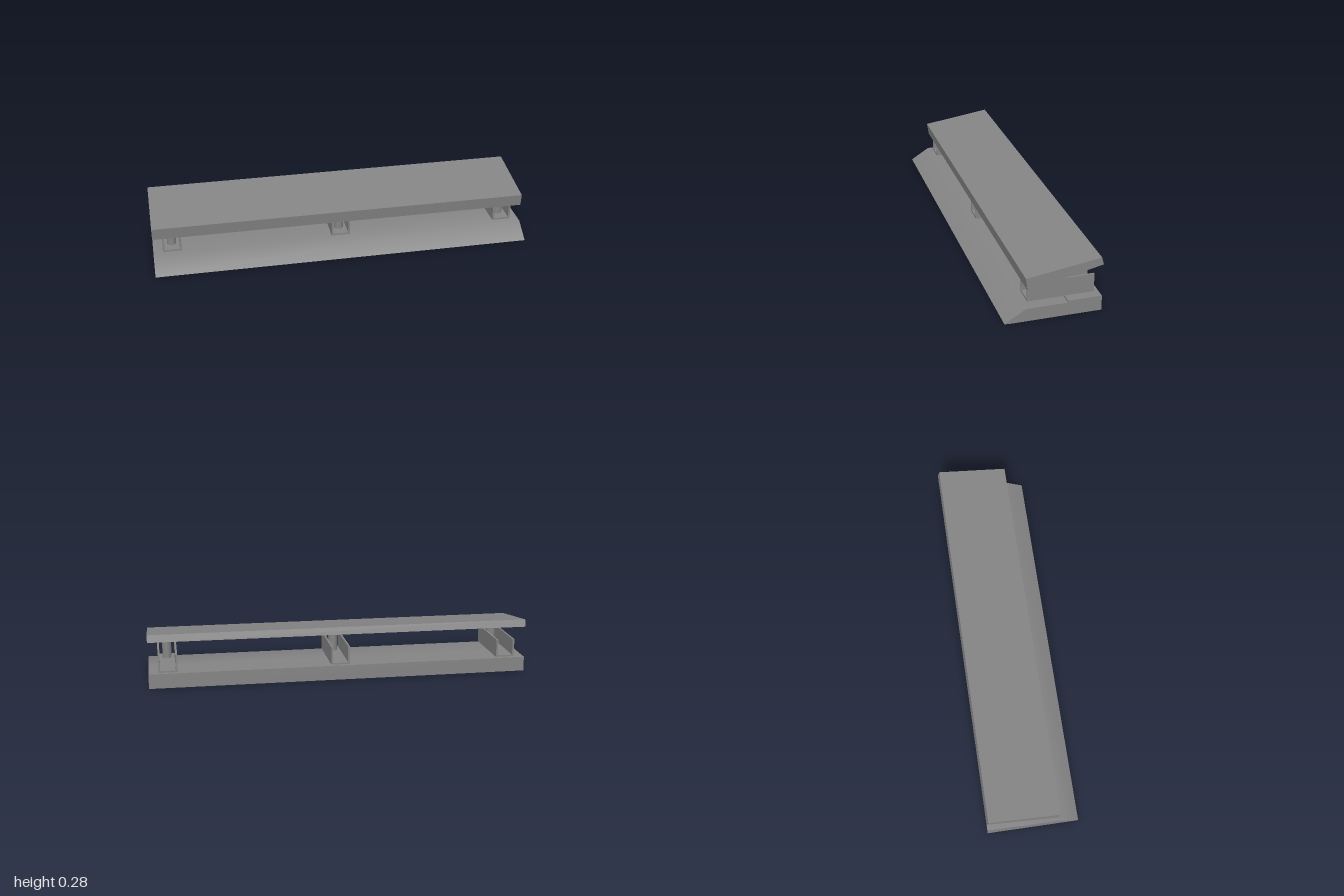
import * as THREE from 'three';
import { toCreasedNormals } from 'three/addons/utils/BufferGeometryUtils.js';

const material = new THREE.MeshStandardMaterial({ color: 0x848484 });

// Extrudes a side profile of [z, y] points along x, centred on x = 0;
// shallow bends in the profile are shaded smoothly
function sideExtrusion(name, points, width) {
  const shape = new THREE.Shape(points.map(([z, y]) => new THREE.Vector2(z, y)));
  const geometry = new THREE.ExtrudeGeometry(shape, { depth: width, bevelEnabled: false });
  geometry.translate(0, 0, -width / 2).rotateY(-Math.PI / 2);
  const mesh = new THREE.Mesh(toCreasedNormals(geometry, Math.PI / 4), material);
  mesh.name = name;
  return mesh;
}

// U-shaped channel, open at the top and both ends, with a post through its floor
function createBracket(x) {
  const bracket = new THREE.Group();
  bracket.name = 'bracket';
  const w = 0.05, t = 0.01, bottom = 0.0755, top = 0.172, front = 0.116, back = -0.218;
  const section = new THREE.Shape([
    [-w, bottom], [w, bottom], [w, top], [w - t, top],
    [w - t, bottom + t], [-w + t, bottom + t], [-w + t, top], [-w, top],
  ].map(([a, b]) => new THREE.Vector2(a, b)));
  const geometry = new THREE.ExtrudeGeometry(section, { depth: front - back, bevelEnabled: false });
  const channel = new THREE.Mesh(geometry.translate(0, 0, back), material);
  channel.name = 'channel';

  const post = new THREE.Mesh(new THREE.CylinderGeometry(0.024, 0.024, 0.128, 32), material);
  post.name = 'post';
  post.position.set(0, 0.1365, 0.044);

  bracket.add(channel, post);
  bracket.position.x = x;
  return bracket;
}

export function createModel() {
  const model = new THREE.Group();
  model.name = 'steppedRail';

  // Base with a sloping front lip and a raised rear step
  model.add(sideExtrusion('base', [
    [0.241, 0.002], [0.137, 0.067], [-0.07, 0.067], [-0.07, 0.077],
    [-0.24, 0.077], [-0.24, 0], [0.21, 0],
  ], 2));

  // Tilted, tapering top plank
  model.add(sideExtrusion('topPlank', [
    [0.13, 0.163], [0.139, 0.228], [-0.232, 0.283], [-0.242, 0.245],
  ], 2));

  for (const x of [-0.9, 0, 0.9]) model.add(createBracket(x));
  return model;
}
